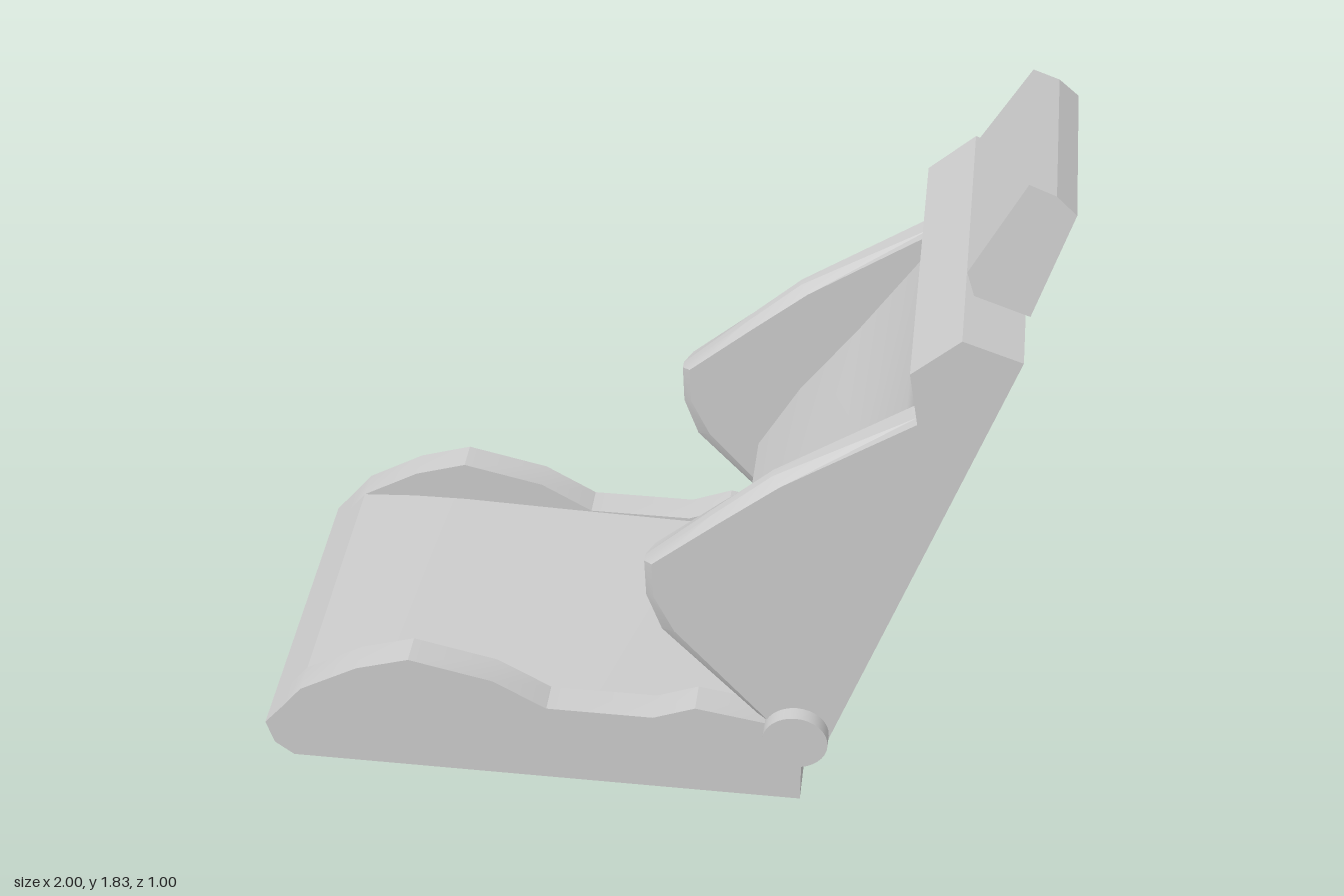
import * as THREE from 'three';
import { toCreasedNormals } from 'three/addons/utils/BufferGeometryUtils.js';

const material = new THREE.MeshStandardMaterial({ color: 0xcccccc });

// Skins side profiles ([x, y] lists, counterclockwise) placed at rising z, with capped ends.
// Each section is [profile, zOf(y)].
function loft(name, sections, crease = 0.5) {
  const n = sections[0][0].length;
  const positions = [];
  const index = [];
  for (const [profile, zOf] of sections) {
    for (const [x, y] of profile) positions.push(x, y, zOf(y));
  }
  for (let k = 0; k < sections.length - 1; k++) {
    for (let i = 0; i < n; i++) {
      const a = k * n + i, b = k * n + (i + 1) % n;
      index.push(a, b, b + n, a, b + n, a + n);
    }
  }
  const cap = (profile) => THREE.ShapeUtils.triangulateShape(profile.map(([x, y]) => new THREE.Vector2(x, y)), []);
  const top = (sections.length - 1) * n;
  for (const [a, b, c] of cap(sections[0][0])) index.push(c, b, a);
  for (const [a, b, c] of cap(sections[sections.length - 1][0])) index.push(top + a, top + b, top + c);
  const geometry = new THREE.BufferGeometry();
  geometry.setAttribute('position', new THREE.Float32BufferAttribute(positions, 3));
  geometry.setIndex(index);
  const mesh = new THREE.Mesh(toCreasedNormals(geometry, crease), material);
  mesh.name = name;
  return mesh;
}

const slab = (name, profile, z0, z1) => loft(name, [[profile, () => z0], [profile, () => z1]]);

export function createModel() {
  const group = new THREE.Group();
  const outer = 0.455, inner = 0.37, midZ = 0.005;

  // Shared rounded nose of the seat base, from the rear underside forward
  const nose = [[0.43, 0], [-0.93, 0], [-0.98, 0.04], [-1, 0.11], [-0.95, 0.17], [-0.895, 0.24]];
  const seatSide = [...nose, [-0.74, 0.33], [-0.6, 0.375], [-0.38, 0.325], [-0.24, 0.245],
    [0.04, 0.245], [0.15, 0.29], [0.33, 0.26], [0.43, 0.22]].reverse();
  const seatMiddle = [...nose, [-0.75, 0.25], [-0.6, 0.252], [-0.3, 0.243], [0.04, 0.235],
    [0.33, 0.215], [0.43, 0.21]].reverse();

  // Backrest: rear face and top are common to the bolsters and the middle panel
  const backTop = [[0.49, 0.2], [0.905, 1.46], [0.76, 1.51], [0.645, 1.405], [0.67, 1.26]];
  const ridge = [...backTop, [0.33, 1.05], [0.18, 0.91], [0.015, 0.75], [0.02, 0.64], [0.06, 0.53],
    [0.31, 0.265], [0.42, 0.2]];
  const rim = [...backTop, [0.35, 1.04], [0.2, 0.91], [0.037, 0.765], [0.042, 0.66], [0.095, 0.55],
    [0.34, 0.27], [0.42, 0.2]];
  const backMiddle = [...backTop, [0.64, 1.17], [0.49, 0.94], [0.34, 0.73], [0.23, 0.53], [0.4, 0.25],
    [0.42, 0.2]];

  group.add(slab('seatCushion', seatMiddle, midZ - inner, midZ + inner));
  group.add(slab('backPanel', backMiddle, midZ - inner, midZ + inner));

  // Side bolsters, with chamfered front edges on the backrest
  for (const side of [-1, 1]) {
    const label = side > 0 ? 'left' : 'right';
    const z = [inner, inner + 0.03, outer - 0.03, outer].map((d) => midZ + side * d).sort((a, b) => a - b);
    group.add(slab(label + 'SeatBolster', seatSide, z[0], z[3]));
    group.add(loft(label + 'BackBolster', [rim, ridge, ridge, rim].map((p, i) => [p, () => z[i]]), 0.35));
  }

  // Hinge bar
  const hinge = new THREE.Mesh(new THREE.CylinderGeometry(0.085, 0.085, 1, 32), material);
  hinge.name = 'hingeBar';
  hinge.rotation.x = Math.PI / 2;
  hinge.position.set(0.413, 0.237, 0);
  group.add(hinge);

  // Headrest, narrowing upwards, on a short neck
  const head = [[0.76, 1.59], [0.78, 1.53], [0.915, 1.485], [1, 1.755], [0.95, 1.8], [0.885, 1.825]];
  const halfWidth = (y) => 0.3 - (y - 1.49) * 0.11;
  group.add(loft('headrest', [[head, (y) => midZ - halfWidth(y)], [head, (y) => midZ + halfWidth(y)]], 0.3));
  const neck = [[0.78, 1.48], [0.885, 1.445], [0.9, 1.5], [0.795, 1.535]];
  group.add(slab('headrestNeck', neck, midZ - 0.23, midZ + 0.23));

  return group;
}
